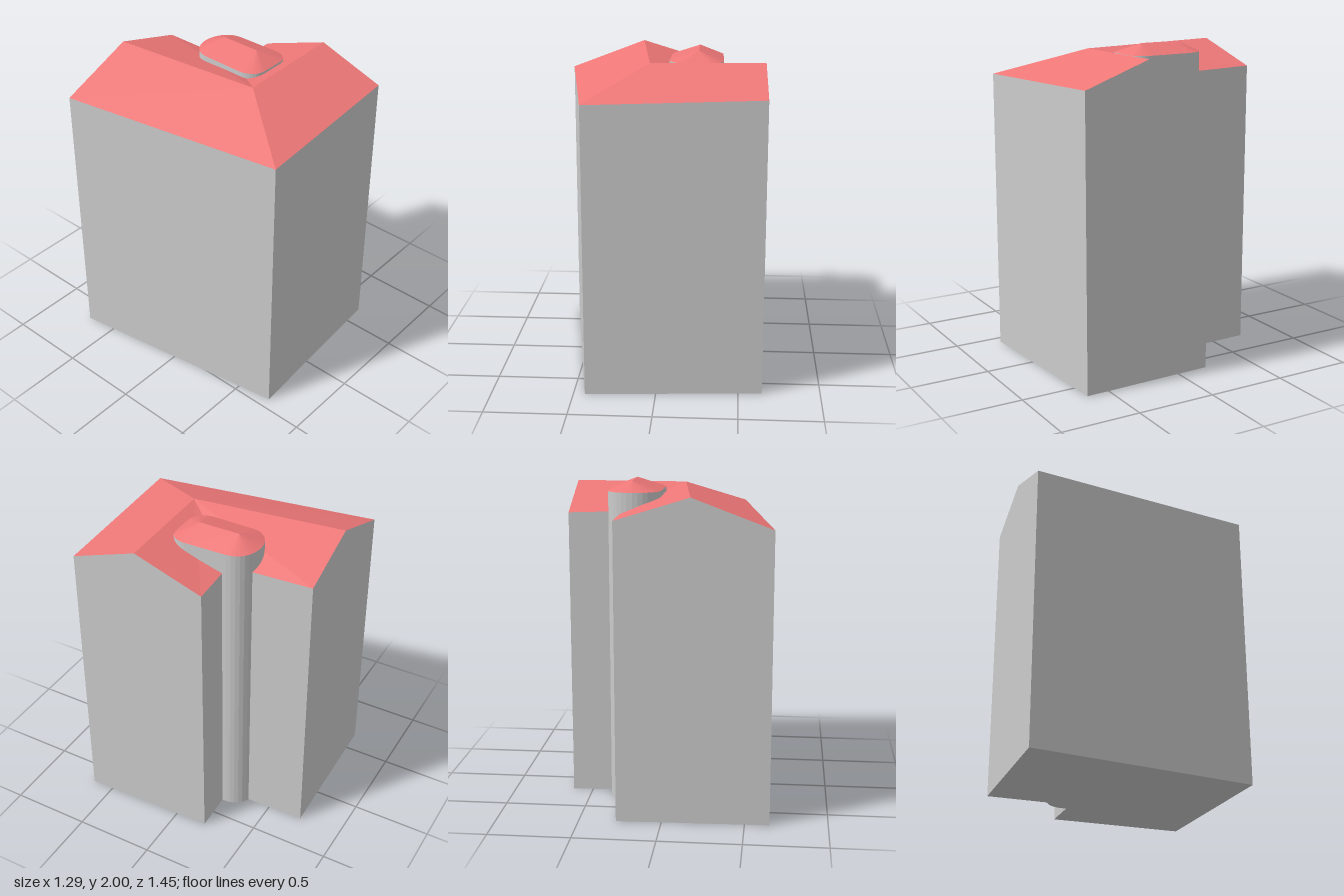
import * as THREE from 'three';

const wallMaterial = new THREE.MeshStandardMaterial({ color: 0xcccccc, flatShading: true });
const roofMaterial = new THREE.MeshStandardMaterial({ color: 0xee7777, flatShading: true });

// Mesh from planar faces, each a loop of corners, counter-clockwise from outside
function faceMesh(name, faces, material) {
  const points = [];
  for (const f of faces) {
    for (let i = 1; i < f.length - 1; i++) points.push(f[0], f[i], f[i + 1]);
  }
  const geometry = new THREE.BufferGeometry();
  geometry.setAttribute('position', new THREE.Float32BufferAttribute(points.flat(), 3));
  geometry.computeVertexNormals();
  const mesh = new THREE.Mesh(geometry, material);
  mesh.name = name;
  return mesh;
}

const ground = ([x, , z]) => [x, 0, z];
const wall = (p, q) => [ground(p), ground(q), q, p];

function createHouse() {
  // Eave corners, counter-clockwise seen from above
  const backRight = [-0.65, 1.775, -0.7];
  const frontRight = [-0.43, 1.785, 0.72];
  const frontLeft = [0.645, 1.81, 0.645];
  const sideLeft = [0.625, 1.8, -0.205];
  const inner = [0.29, 1.81, -0.195];
  const backLeft = [0.275, 1.82, -0.725];
  // Ridge ends and the hip where the two wings meet
  const backRidge = [-0.17, 1.957, -0.713];
  const hip = [-0.062, 1.952, 0.243];
  const sideRidge = [0.636, 1.957, 0.224];

  const corners = [inner, backLeft, backRight, frontRight, frontLeft, sideLeft];
  const walls = corners.map((p, i) => wall(p, corners[(i + 1) % corners.length]));
  const gables = [[backLeft, backRight, backRidge], [frontLeft, sideLeft, sideRidge]];
  const base = [inner, sideLeft, frontLeft, frontRight, backRight, backLeft].map(ground);

  const house = new THREE.Group();
  house.name = 'house';
  house.add(
    faceMesh('houseWalls', [...walls, ...gables, base], wallMaterial),
    faceMesh('houseRoof', [
      [backRight, frontRight, hip, backRidge],
      [frontRight, frontLeft, sideRidge, hip],
      [hip, sideRidge, sideLeft, inner],
      [hip, inner, backLeft, backRidge],
    ], roofMaterial),
  );
  return house;
}

function createStairTower() {
  // Rounded plan; shape y stands for z
  const plan = new THREE.Shape();
  plan.moveTo(0.05, -0.22);
  plan.lineTo(0.045, 0.04);
  plan.bezierCurveTo(0.045, 0.11, 0.09, 0.16, 0.145, 0.16);
  plan.lineTo(0.3, 0.158);
  plan.bezierCurveTo(0.345, 0.155, 0.38, 0.11, 0.38, 0.05);
  plan.lineTo(0.374, -0.22);
  plan.bezierCurveTo(0.372, -0.3, 0.31, -0.36, 0.21, -0.362);
  plan.bezierCurveTo(0.12, -0.36, 0.05, -0.3, 0.05, -0.22);
  const rim = plan.getPoints(8).slice(0, -1).map((p) => [p.x, 1.94, p.y]);

  // Every rim point rises to the nearer end of a short ridge
  const apex = (p) => [0.225, 2, p[2] < -0.1 ? -0.225 : 0.03];
  const walls = [];
  const roof = [];
  rim.forEach((p, i) => {
    const q = rim[(i + 1) % rim.length];
    walls.push(wall(p, q));
    roof.push([p, q, apex(q), apex(p)]);
  });
  const base = rim.map(ground).reverse();

  const tower = new THREE.Group();
  tower.name = 'stairTower';
  tower.add(
    faceMesh('towerWalls', [...walls, base], wallMaterial),
    faceMesh('towerRoof', roof, roofMaterial),
  );
  return tower;
}

export function createModel() {
  const model = new THREE.Group();
  model.name = 'cornerBuilding';
  model.add(createHouse(), createStairTower());
  return model;
}
